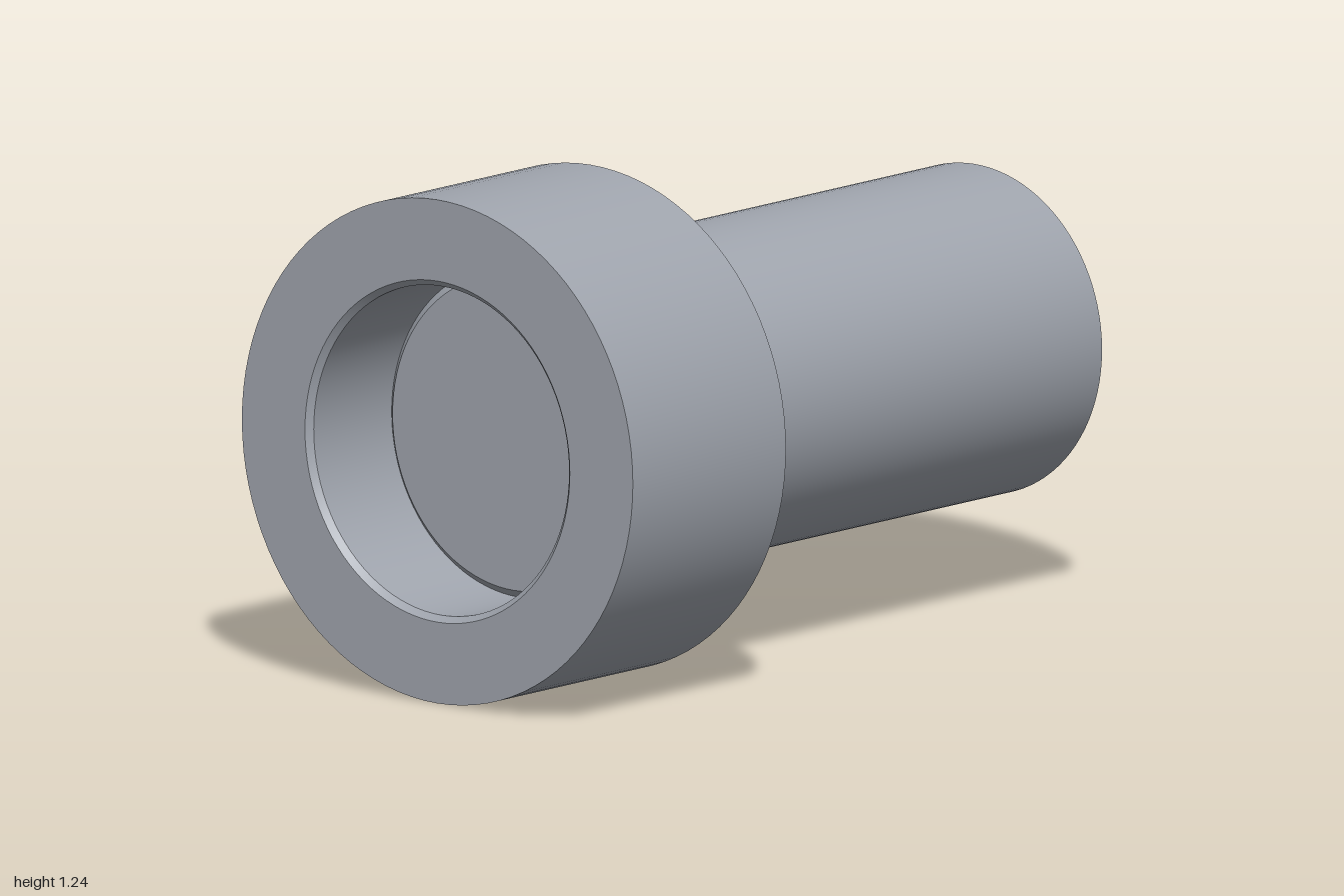
import * as THREE from 'three';
import { toCreasedNormals } from 'three/addons/utils/BufferGeometryUtils.js';

const steel = new THREE.MeshStandardMaterial({ color: 0xa0a5ae });
steel.name = 'steel grey';

const AXIS_Y = 0.62;
const BORE = 0.405;

// Turned part: profile of [radius, z] pairs spun around the z axis
function turned(name, profile) {
  const points = profile.map(([r, z]) => new THREE.Vector2(r, z));
  const lathe = new THREE.LatheGeometry(points, 96).rotateX(Math.PI / 2);
  const mesh = new THREE.Mesh(toCreasedNormals(lathe, Math.PI / 6), steel);
  mesh.name = name;
  mesh.position.y = AXIS_Y;
  return mesh;
}

export function createModel() {
  const model = new THREE.Group();
  model.name = 'pinAndCollar';

  // Collar with a bore chamfered at both ends
  model.add(turned('collar', [
    [0.42, 0.43], [0.62, 0.43], [0.62, 1], [0.42, 1],
    [BORE, 0.985], [BORE, 0.445], [0.42, 0.43],
  ]));

  // Solid pin ending halfway through the collar, front edge chamfered
  model.add(turned('pin', [
    [0, -1], [BORE, -1], [BORE, 0.695], [0.385, 0.715], [0, 0.715],
  ]));

  return model;
}
